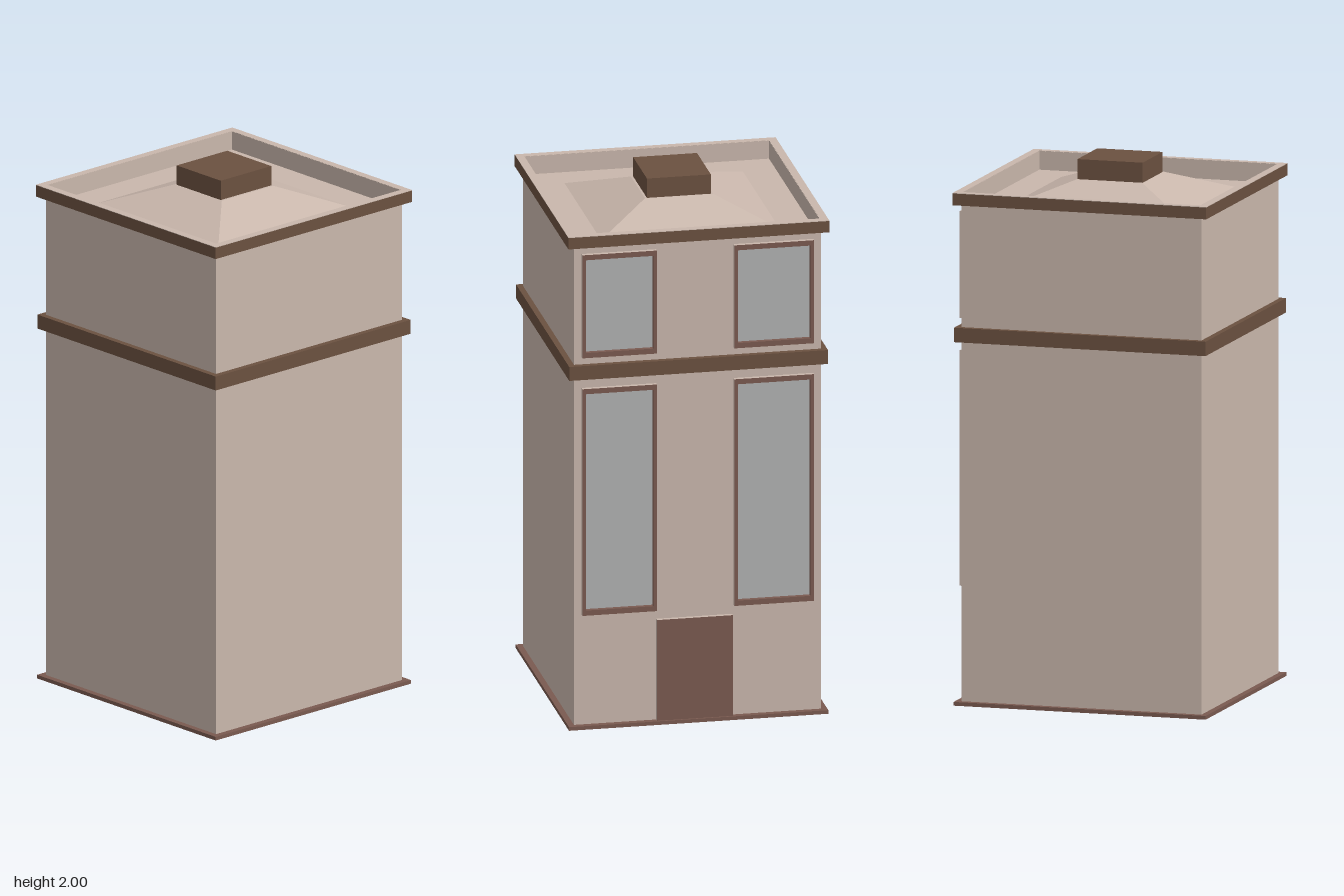
import * as THREE from 'three';

const mat = (color, extra = {}) => new THREE.MeshStandardMaterial({ color, ...extra });

export function createModel() {
  const model = new THREE.Group();
  const plaster = mat(0xc9b7ac, { side: THREE.DoubleSide, flatShading: true });
  const brown = mat(0x6b5140);
  const trim = mat(0x7a5a50);
  const glass = mat(0xb0b2b2);
  const metal = mat(0xcccccc);

  const add = (name, geometry, material, parent = model) => {
    const mesh = new THREE.Mesh(geometry, material);
    mesh.name = name;
    parent.add(mesh);
    return mesh;
  };

  // Rectangle outlines, given as [u0, y0, u1, y1]
  const trace = (path, [a, b, c, d]) => path.moveTo(a, b).lineTo(c, b).lineTo(c, d).lineTo(a, d).lineTo(a, b);
  const rect = (r, holes = []) => {
    const shape = trace(new THREE.Shape(), r);
    for (const h of holes) shape.holes.push(trace(new THREE.Path(), h));
    return shape;
  };
  const inset = ([a, b, c, d], s, t = s, bottom = t) => [a + s, b + bottom, c - s, d - t];
  const square = (h) => [-h, -h, h, h];
  const extrude = (shape, depth) => new THREE.ExtrudeGeometry(shape, { depth, bevelEnabled: false });

  // Horizontal square ring between two heights
  const ring = (name, outer, inner, y0, y1, material) =>
    add(name, extrude(rect(square(outer), [square(inner)]), y1 - y0).rotateX(-Math.PI / 2).translate(0, y0, 0), material);

  // Openings in the +x wall, u = -z
  const windows = [
    [-0.435, 1.44, -0.155, 1.84], [0.135, 1.44, 0.435, 1.84],
    [-0.435, 0.44, -0.155, 1.32], [0.135, 0.44, 0.435, 1.32],
  ];
  const door = [-0.155, 0.012, 0.13, 0.405];
  const onWall = (geometry, x) => geometry.rotateY(Math.PI / 2).translate(x, 0, 0);

  // Walls, open at the bottom
  const W = 0.464, H = 1.87;
  const doorHole = inset(door, 0.025, 0.02, 0);
  const holes = [...windows.map((w) => inset(w, 0.014, 0.02)), doorHole];
  add('entranceWall', onWall(new THREE.ShapeGeometry(rect([-W, 0, W, H], holes)), W), plaster);
  for (const k of [0, 2, 3]) {
    const wall = new THREE.PlaneGeometry(2 * W, H).translate(0, H / 2, W);
    add('wall', wall.rotateY(k * Math.PI / 2), plaster);
  }

  // Base, middle band and parapet
  ring('baseTrim', 0.487, 0.46, 0, 0.014, trim);
  ring('middleBand', 0.486, 0.46, 1.358, 1.412, brown);
  ring('corniceBand', 0.49, 0.461, 1.87, 1.914, brown);
  ring('parapetCap', 0.49, 0.46, 1.914, 1.916, plaster);
  ring('parapetLining', 0.461, 0.459, 1.845, 1.915, plaster);

  // Roof deck, hipped slope and chimney block
  add('roofDeck', new THREE.PlaneGeometry(0.92, 0.92).rotateX(-Math.PI / 2).translate(0, 1.845, 0), plaster);
  const slope = new THREE.CylinderGeometry(0.128 * Math.SQRT2, 0.335 * Math.SQRT2, 0.08, 4, 1, true);
  add('roofSlope', slope.rotateY(Math.PI / 4).translate(0, 1.885, 0), plaster);
  add('roofSlopeTop', new THREE.PlaneGeometry(0.256, 0.256).rotateX(-Math.PI / 2).translate(0, 1.925, 0), plaster);
  add('chimneyBlock', new THREE.BoxGeometry(0.252, 0.075, 0.24).translate(0, 1.9625, 0), brown);

  // Frame with a pale outer edge and a dark inner reveal
  const addFrame = (r, hole, back, parent) => {
    const body = inset(r, 0.003);
    add('frameEdge', onWall(extrude(rect(r, [body]), 0.016), W), [trim, plaster], parent);
    add('frame', onWall(extrude(rect(body, [hole]), 0.48 - back), back), trim, parent);
  };

  for (const w of windows) {
    const group = new THREE.Group();
    group.name = 'window';
    model.add(group);
    const pane = inset(w, 0.014, 0.02);
    addFrame(w, pane, 0.455, group);
    add('glass', onWall(new THREE.ShapeGeometry(rect(pane)), 0.462), glass, group);
  }

  // Recessed door with knob
  const entrance = new THREE.Group();
  entrance.name = 'entrance';
  model.add(entrance);
  addFrame(door, doorHole, 0.43, entrance);
  add('door', onWall(extrude(rect(doorHole), 0.01), 0.43), brown, entrance);
  add('doorKnob', new THREE.SphereGeometry(0.011, 16, 12).translate(0.458, 0.18, -0.065), metal, entrance);
  add('knobStem', new THREE.CylinderGeometry(0.005, 0.005, 0.02, 12).rotateZ(Math.PI / 2).translate(0.448, 0.18, -0.065), metal, entrance);

  return model;
}
